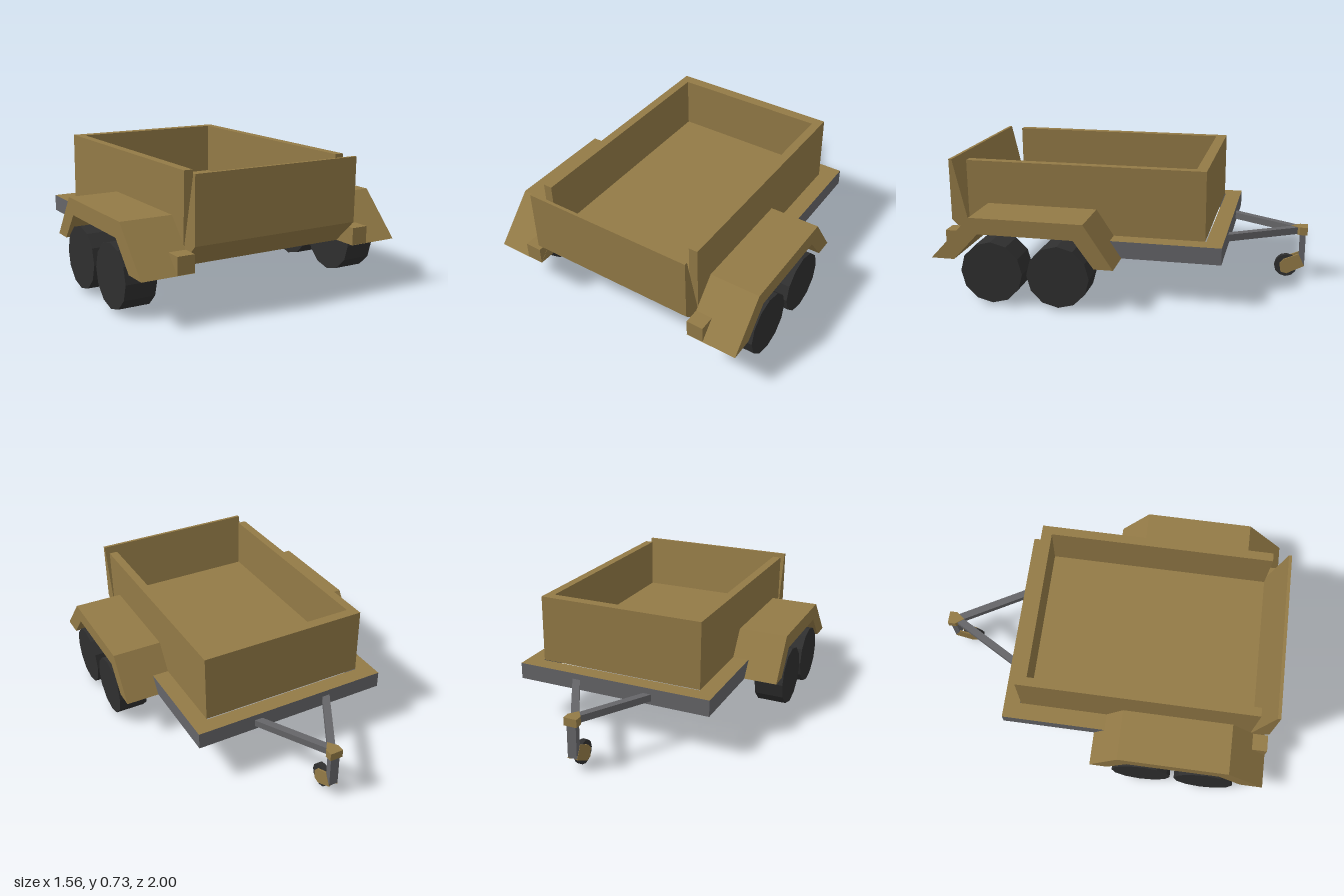
import * as THREE from 'three';

const mat = (name, color) => {
  const m = new THREE.MeshStandardMaterial({ color });
  m.name = name;
  return m;
};

export function createModel() {
  const tan = mat('tan paint', 0x937a46);
  const steel = mat('grey steel', 0x656568);
  const rubber = mat('black rubber', 0x2f2f2f);
  const root = new THREE.Group();
  root.name = 'trailer';

  const add = (name, geometry, material) => {
    const mesh = new THREE.Mesh(geometry, material);
    mesh.name = name;
    root.add(mesh);
    return mesh;
  };
  // Box given by its limits on each axis
  const box = (name, material, x0, x1, y0, y1, z0, z1) => {
    const g = new THREE.BoxGeometry(x1 - x0, y1 - y0, z1 - z0);
    g.translate((x0 + x1) / 2, (y0 + y1) / 2, (z0 + z1) / 2);
    return add(name, g, material);
  };
  const shapeOf = (pts) => new THREE.Shape(pts.map(([a, b]) => new THREE.Vector2(a, b)));
  // Profile of [z, y] points extruded from x0 to x1
  const profile = (name, material, pts, x0, x1) => {
    const g = new THREE.ExtrudeGeometry(shapeOf(pts), { depth: x1 - x0, bevelEnabled: false });
    g.rotateY(-Math.PI / 2).translate(x1, 0, 0);
    return add(name, g, material);
  };
  // Cylinder lying along x
  const wheel = (name, r, width, x, y, z, sides) => {
    const g = new THREE.CylinderGeometry(r, r, width, sides).toNonIndexed();
    g.rotateZ(Math.PI / 2).computeVertexNormals();
    add(name, g.translate(x, y, z), rubber);
  };

  // Chassis frame: tan top and underside, grey edges, open at the rear
  const frame = [[-0.585, -0.1], [-0.49, -0.1], [-0.49, 0.465], [0.49, 0.465],
    [0.49, -0.1], [0.585, -0.1], [0.585, 0.56], [-0.585, 0.56]];
  const frameGeo = new THREE.ExtrudeGeometry(shapeOf(frame), { depth: 0.095, bevelEnabled: false });
  add('chassisFrame', frameGeo.rotateX(-Math.PI / 2).translate(0, 0.25, 0), [tan, steel]);

  // Open cargo bed
  box('bedFloor', tan, -0.49, 0.49, 0.345, 0.435, -0.46, 0.893);
  box('bedHeadboard', tan, -0.49, 0.49, 0.435, 0.733, -0.46, -0.4);
  for (const s of [-1, 1]) {
    const x = s * 0.465;
    box('bedSideWall', tan, x - 0.025, x + 0.025, 0.435, 0.733, -0.4, 0.893);
  }

  // Wedge-shaped tailgate with the sloping rear sill
  profile('tailgate', tan, [[0.87, 0.25], [1, 0.38], [1, 0.733], [0.982, 0.733],
    [0.895, 0.345], [0.87, 0.345]], -0.49, 0.49);

  // Mudguards, rear corner blocks and twin-axle wheels
  const guard = [[-0.015, 0.25], [0.09, 0.25], [0.2, 0.4], [0.73, 0.4], [0.87, 0.25],
    [1, 0.25], [0.775, 0.49], [0.145, 0.49]];
  for (const s of [-1, 1]) {
    const [x0, x1] = s > 0 ? [0.489, 0.778] : [-0.778, -0.489];
    profile('mudguard', tan, guard, x0, x1);
    const c = s * 0.5375;
    box('rearCornerBlock', tan, c - 0.0475, c + 0.0475, 0.251, 0.345, 0.9, 0.999);
    for (const z of [0.29, 0.66]) wheel('roadWheel', 0.173, 0.172, s * 0.691, 0.187, z, 12);
  }

  // A-shaped drawbar
  for (const s of [-1, 1]) {
    const a = new THREE.Vector3(0, 0.291, -0.95);
    const b = new THREE.Vector3(s * 0.238, 0.291, -0.53);
    const arm = add('drawbarArm', new THREE.BoxGeometry(0.042, 0.04, a.distanceTo(b)), steel);
    arm.position.copy(a).add(b).multiplyScalar(0.5);
    arm.rotation.y = Math.atan2(b.x - a.x, b.z - a.z);
  }
  const coupler = [[-0.038, 1], [0.038, 1], [0.038, 0.955], [0, 0.905], [-0.038, 0.955]];
  const couplerGeo = new THREE.ExtrudeGeometry(shapeOf(coupler).clone(), { depth: 0.046, bevelEnabled: false });
  add('coupler', couplerGeo.rotateX(-Math.PI / 2).translate(0, 0.268, 0), tan);

  // Jockey wheel on its post and fork
  box('jockeyPost', steel, -0.027, 0.027, 0.08, 0.27, -0.99, -0.955);
  const fork = [[-0.99, 0.075], [-0.89, 0.022], [-0.855, 0.03], [-0.847, 0.08],
    [-0.87, 0.108], [-0.955, 0.147]];
  for (const s of [-1, 1]) {
    const x = s * 0.0235;
    profile('jockeyFork', tan, fork, x - 0.0055, x + 0.0055);
  }
  wheel('jockeyWheel', 0.067, 0.032, 0, 0.067, -0.882, 12);

  return root;
}
